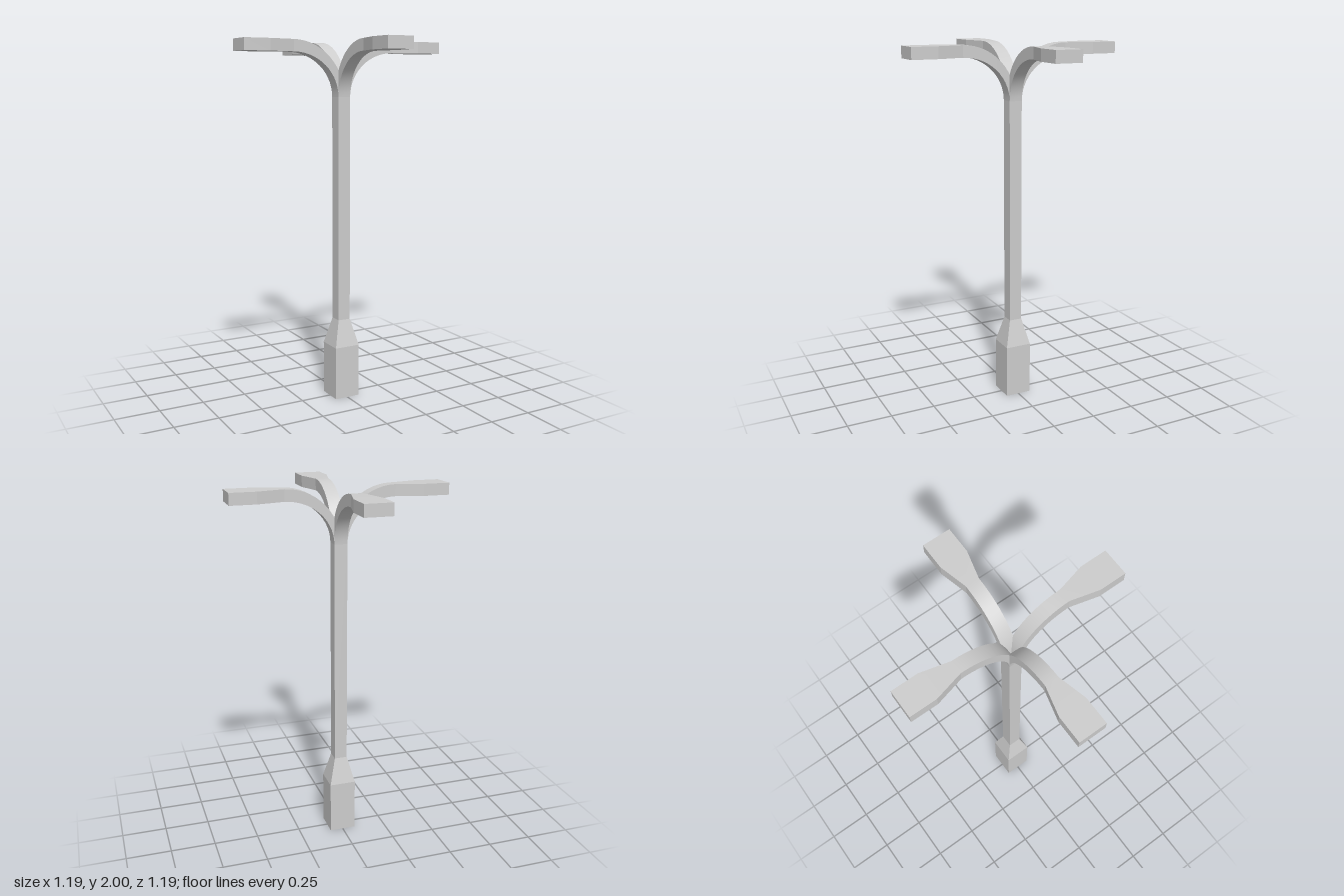
import * as THREE from 'three';
import { toCreasedNormals } from 'three/addons/utils/BufferGeometryUtils.js';

// Closed skin through four-cornered sections, smooth only along gentle bends
function loft(sections) {
  const index = [];
  const quad = (a, b, c, d) => index.push(a, b, c, a, c, d);
  const last = (sections.length - 1) * 4;
  for (let i = 0; i < last; i += 4) {
    for (let k = 0; k < 4; k++) {
      const n = (k + 1) % 4;
      quad(i + k, i + n, i + 4 + n, i + 4 + k);
    }
  }
  quad(3, 2, 1, 0);
  quad(last, last + 1, last + 2, last + 3);
  const geo = new THREE.BufferGeometry();
  geo.setAttribute('position', new THREE.Float32BufferAttribute(sections.flat(2), 3));
  geo.setIndex(index);
  return toCreasedNormals(geo, 0.2);
}

const THIN = 0.036, WIDE = 0.074;

// Square post with a thick foot
function postGeometry() {
  const profile = [[0, WIDE], [0.3, WIDE], [0.45, THIN], [1.7, THIN]];
  return loft(profile.map(([y, h]) => [[-h, y, h], [h, y, h], [h, y, -h], [-h, y, -h]]));
}

// Arm that rises from the post, bends outward and widens at the tip
function armGeometry() {
  const section = (xTop, yTop, xLow, yLow, h) =>
    [[xTop, yTop, -h], [xTop, yTop, h], [xLow, yLow, h], [xLow, yLow, -h]];
  const sections = [];
  const steps = 14;
  for (let i = 0; i <= steps; i++) {
    const t = (i / steps) * Math.PI / 2, c = Math.cos(t), s = Math.sin(t);
    sections.push(section(0.3 - 0.3 * c, 1.7 + 0.3 * s, 0.3 - 0.264 * c, 1.7 + 0.237 * s, THIN));
  }
  for (const x of [0.45, 0.593]) sections.push(section(x, 2, x, 1.937, WIDE));
  return loft(sections);
}

export function createModel() {
  const group = new THREE.Group();
  group.name = 'fourArmedPost';
  const grey = new THREE.MeshStandardMaterial({ color: 0xcccccc });
  grey.name = 'light grey';

  const post = new THREE.Mesh(postGeometry(), grey);
  post.name = 'post';
  group.add(post);

  // Four arms, a quarter turn apart
  const geo = armGeometry();
  ['leftArm', 'backArm', 'rightArm', 'frontArm'].forEach((name, i) => {
    const arm = new THREE.Mesh(geo, grey);
    arm.name = name;
    arm.rotation.y = i * Math.PI / 2;
    group.add(arm);
  });
  return group;
}
